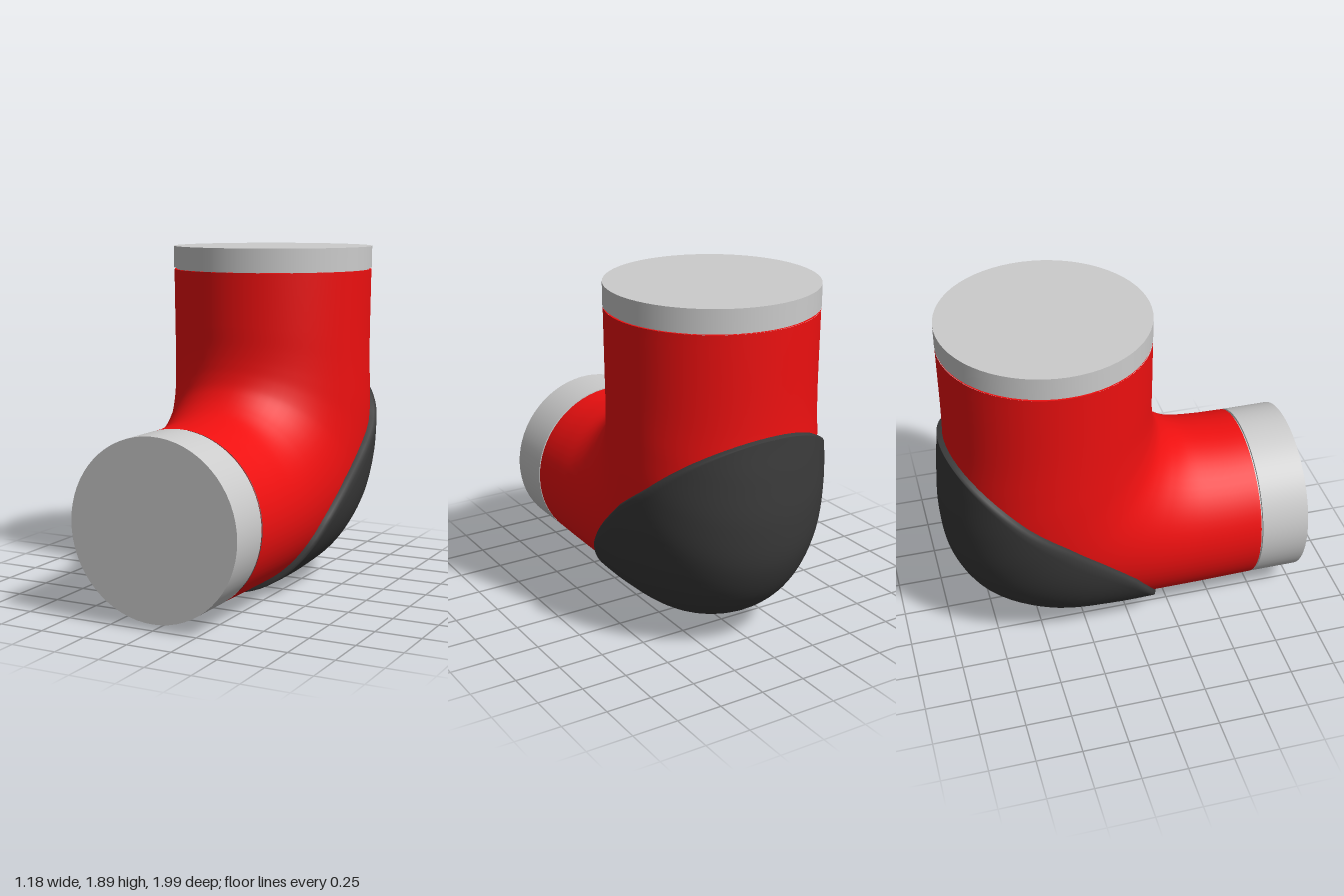
import * as THREE from 'three';

// Bend sections: inner z, inner y, outer z, outer y, half width
const SECTIONS = [
  [0.725, 0.995, 0.725, 0.04, 0.48],
  [0.55, 1.0, 0.45, 0.037, 0.485],
  [0.38, 1.025, 0.18, 0.035, 0.49],
  [0.30, 1.07, -0.15, 0.045, 0.505],
  [0.25, 1.12, -0.50, 0.10, 0.525],
  [0.225, 1.16, -0.78, 0.27, 0.54],
  [0.205, 1.22, -0.915, 0.50, 0.55],
  [0.195, 1.28, -0.955, 0.75, 0.555],
  [0.19, 1.35, -0.95, 1.0, 0.555],
  [0.19, 1.48, -0.935, 1.25, 0.555],
  [0.19, 1.765, -0.935, 1.765, 0.56],
];
// The x of the inner curve carries the half width
const inner = new THREE.CatmullRomCurve3(SECTIONS.map(s => new THREE.Vector3(s[4], s[1], s[0])));
const outer = new THREE.CatmullRomCurve3(SECTIONS.map(s => new THREE.Vector3(0, s[3], s[2])));

// Point on the bend: u along it, angle 0 at the outside of the elbow, lifted by offset
function bendPoint(u, angle, offset = 0) {
  const i = inner.getPoint(u), o = outer.getPoint(u);
  const dz = (o.z - i.z) / 2, dy = (o.y - i.y) / 2;
  const k = Math.cos(angle) * (1 + offset / Math.hypot(dz, dy));
  return new THREE.Vector3(
    Math.sin(angle) * (i.x + offset),
    (i.y + o.y) / 2 + dy * k,
    (i.z + o.z) / 2 + dz * k);
}

// Smooth surface through rows of points
function skin(rows, closed) {
  const n = rows[0].length, index = [];
  for (let r = 0; r < rows.length - 1; r++) {
    for (let c = 0; c < (closed ? n : n - 1); c++) {
      const a = r * n + c, d = r * n + (c + 1) % n;
      index.push(a, a + n, d, d, a + n, d + n);
    }
  }
  const g = new THREE.BufferGeometry().setFromPoints(rows.flat());
  g.setIndex(index);
  g.computeVertexNormals();
  return g;
}

// Edge of the elbow guard seen from the side: z, y
const EDGE = [[0.2, 0], [0.185, 0.06], [0.14, 0.17], [0.08, 0.29], [0, 0.41], [-0.1, 0.52],
  [-0.2, 0.615], [-0.4, 0.785], [-0.6, 0.925], [-0.8, 1.085], [-0.97, 1.215]];
function insideGuard(p) {
  if (p.z > EDGE[0][0]) return false;
  let i = 1;
  while (i < EDGE.length - 1 && p.z < EDGE[i][0]) i++;
  const [z0, y0] = EDGE[i - 1], [z1, y1] = EDGE[i];
  return p.y < y0 + (y1 - y0) * (p.z - z0) / (z1 - z0);
}
const thickness = u => 0.03 + 0.015 * Math.sin(Math.PI * THREE.MathUtils.clamp((u - 0.2) / 0.7, 0, 1));

// Last value between a (inside) and b (outside) that passes the test
function bisect(a, b, test) {
  for (let i = 0; i < 30; i++) {
    const m = (a + b) / 2;
    if (test(m)) a = m; else b = m;
  }
  return a;
}

function guardGeometry() {
  const onSpine = u => insideGuard(bendPoint(u, 0, thickness(u)));
  const start = bisect(0.5, 0.05, onSpine), end = bisect(0.5, 0.98, onSpine);
  const rows = [], R = 64, C = 44;
  for (let r = 0; r <= R; r++) {
    const u = start + (end - start) * (1 - Math.cos(Math.PI * r / R)) / 2;
    const t = thickness(u);
    const within = a => insideGuard(bendPoint(u, a, t));
    let limit = 0;
    while (limit < Math.PI && within(limit + 0.04)) limit += 0.04;
    limit = bisect(limit, limit + 0.04, within);
    const row = [bendPoint(u, -limit, -0.015), bendPoint(u, -limit, t * 0.6)];
    const soft = limit * 0.985;
    for (let c = 0; c <= C; c++) row.push(bendPoint(u, soft * (2 * c / C - 1), t));
    row.push(bendPoint(u, limit, t * 0.6), bendPoint(u, limit, -0.015));
    rows.push(row);
  }
  return skin(rows, false);
}

function elbowGeometry() {
  const rows = [], R = 80, C = 64;
  for (let r = 0; r <= R; r++) {
    rows.push(Array.from({ length: C }, (_, c) => bendPoint(r / R, c / C * Math.PI * 2)));
  }
  return skin(rows, true);
}

export function createModel() {
  const model = new THREE.Group();
  const grey = new THREE.MeshStandardMaterial({ color: 0xcccccc });
  const red = new THREE.MeshStandardMaterial({ color: 0xee1010 });
  const dark = new THREE.MeshStandardMaterial({ color: 0x3a3a3a, side: THREE.DoubleSide });

  const add = (parent, name, geometry, material) => {
    const mesh = new THREE.Mesh(geometry, material);
    mesh.name = name;
    parent.add(mesh);
    return mesh;
  };

  add(model, 'elbowBody', elbowGeometry(), red);
  add(model, 'elbowGuard', guardGeometry(), dark);

  // Joint: body end face, recessed neck and end cap, built upward from its origin
  const joint = (name, radius, height) => {
    const g = new THREE.Group();
    g.name = name;
    add(g, 'bodyEnd', new THREE.CircleGeometry(radius - 0.003, 64).rotateX(-Math.PI / 2), red);
    add(g, 'neck', new THREE.CylinderGeometry(radius - 0.015, radius - 0.015, 0.02, 64), grey).position.y = 0.005;
    add(g, 'endCap', new THREE.CylinderGeometry(radius, radius, height, 64), grey).position.y = 0.01 + height / 2;
    model.add(g);
    return g;
  };
  joint('upperJoint', 0.563, 0.12).position.set(0, 1.765, -0.373);
  const front = joint('frontJoint', 0.479, 0.265);
  front.position.set(0, 0.5175, 0.725);
  front.rotation.x = Math.PI / 2;

  return model;
}
